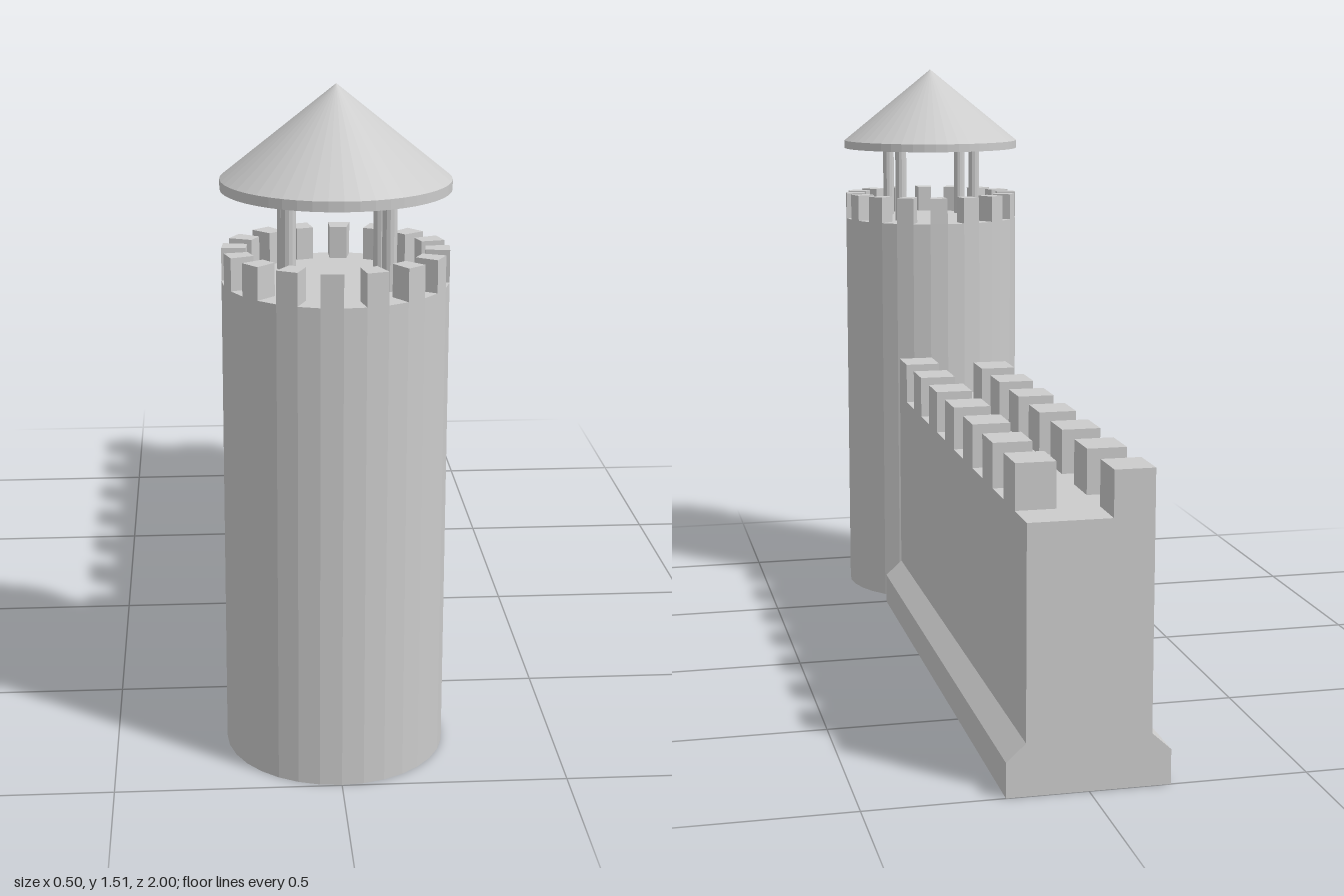
import * as THREE from 'three';

const material = new THREE.MeshStandardMaterial({ color: 0xcccccc, flatShading: true });

function add(parent, name, geometry, x = 0, y = 0, z = 0) {
  const mesh = new THREE.Mesh(geometry, material);
  mesh.name = name;
  mesh.position.set(x, y, z);
  parent.add(mesh);
  return mesh;
}

const shapeOf = (points) => new THREE.Shape(points.map(([x, y]) => new THREE.Vector2(x, y)));

function createTower() {
  const tower = new THREE.Group();
  tower.name = 'tower';
  const radius = 0.248, inner = 0.195, floor = 1.088, top = 1.16;
  const step = Math.PI / 16;

  add(tower, 'towerBody', new THREE.CylinderGeometry(radius, radius, floor, 32), 0, floor / 2);

  // Ring of 16 merlons, each one facet of the tower wide
  const corner = (r, a) => [r * Math.sin(a), -r * Math.cos(a)];
  const merlon = new THREE.ExtrudeGeometry(
    shapeOf([corner(radius, 0), corner(radius, step), corner(inner, step), corner(inner, 0)]),
    { depth: top - floor, bevelEnabled: false }
  ).rotateX(-Math.PI / 2);
  for (let i = 0; i < 16; i++) {
    add(tower, 'towerMerlon', merlon, 0, floor, 0).rotation.y = (2 * i + 1) * step;
  }

  // Four posts carrying the roof
  const post = new THREE.CylinderGeometry(0.016, 0.016, 1.3 - floor, 12);
  for (const x of [-0.107, 0.107]) {
    for (const z of [-0.103, 0.103]) add(tower, 'roofPost', post, x, (1.3 + floor) / 2, z);
  }

  // Conical roof with a thin rim
  add(tower, 'roofRim', new THREE.CylinderGeometry(0.25, 0.25, 0.022, 48), 0, 1.301);
  add(tower, 'roofCone', new THREE.ConeGeometry(0.25, 0.203, 48, 1, true), 0, 1.4135);
  return tower;
}

function createWall() {
  const wall = new THREE.Group();
  wall.name = 'wall';
  const back = -1, length = 1.497, height = 0.605, half = 0.141;

  // Wall body with a sloped plinth, extruded along its length
  const side = [[0.185, 0], [0.185, 0.08], [half, 0.12], [half, height]];
  const profile = [...side, ...side.map(([x, y]) => [-x, y]).reverse()];
  add(wall, 'wallBody', new THREE.ExtrudeGeometry(shapeOf(profile), { depth: length, bevelEnabled: false }), 0, 0, back);

  // Merlons alternate between the two edges
  const pitch = length / 14, width = 0.092;
  const merlon = new THREE.BoxGeometry(width, 0.105, pitch);
  for (let i = 0; i < 14; i++) {
    const sign = i % 2 ? 1 : -1;
    add(wall, 'wallMerlon', merlon, sign * (half - width / 2), height + 0.0525, back + (i + 0.5) * pitch);
  }
  return wall;
}

export function createModel() {
  const model = new THREE.Group();
  model.name = 'castleWallWithTower';
  const tower = createTower();
  tower.position.z = 0.75;
  model.add(tower, createWall());
  return model;
}
